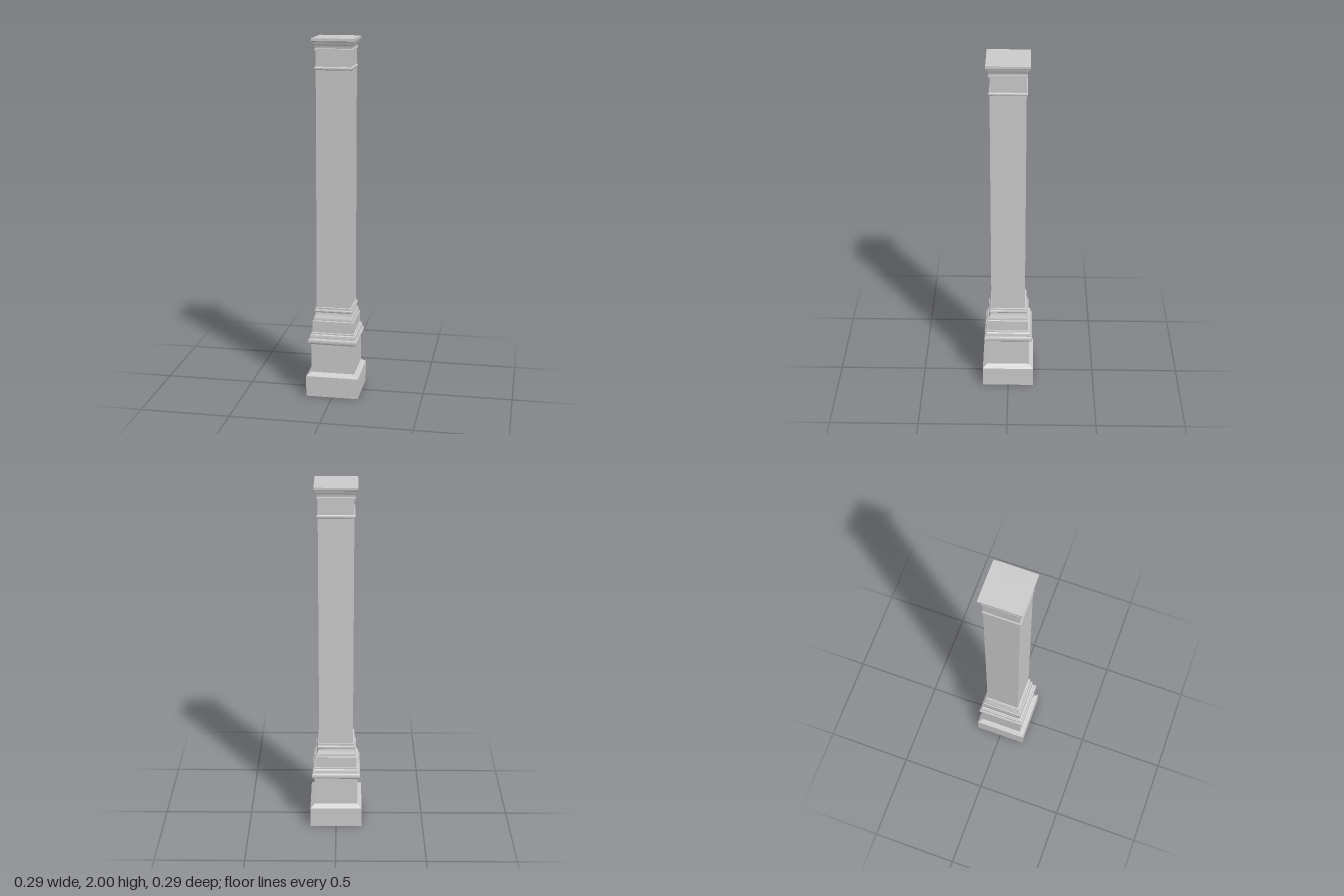
import * as THREE from 'three';

const material = new THREE.MeshStandardMaterial({ color: 0xcccccc, flatShading: true, side: THREE.DoubleSide });

// Sweeps a profile of [half width, height] points around a square plan
function squareSweep(name, profile) {
  const points = profile.map(([w, y]) => new THREE.Vector2(w * Math.SQRT2, y));
  const geometry = new THREE.LatheGeometry(points, 4, Math.PI / 4).toNonIndexed();
  geometry.computeVertexNormals();
  const mesh = new THREE.Mesh(geometry, material);
  mesh.name = name;
  return mesh;
}

// Half-round bead standing out from w by the given depth
function bead(w, y0, y1, depth, steps = 8) {
  return Array.from({ length: steps + 1 }, (_, i) => {
    const a = (Math.PI * i) / steps;
    return [w + depth * Math.sin(a), (y0 + y1) / 2 - ((y1 - y0) / 2) * Math.cos(a)];
  });
}

// Smooth moulding through a few profile points
function curve(profile, steps = 8) {
  const spline = new THREE.SplineCurve(profile.map(([w, y]) => new THREE.Vector2(w, y)));
  return spline.getPoints(steps).map((p) => [p.x, p.y]);
}

export function createModel() {
  const column = new THREE.Group();
  column.name = 'squareColumn';
  column.add(
    // Pedestal, open underneath
    squareSweep('plinth', [[0.147, 0], [0.147, 0.118], [0.122, 0.137]]),
    squareSweep('pedestalBlock', [[0.122, 0.137], [0.122, 0.305]]),
    squareSweep('pedestalMoulding', [
      [0.122, 0.305], ...bead(0.129, 0.305, 0.338, 0.008),
      [0.129, 0.342], [0.127, 0.357], [0.121, 0.362], [0.121, 0.369], [0.115, 0.371],
    ]),
    // Column base
    squareSweep('baseBlock', [[0.115, 0.371], [0.115, 0.436], [0.11, 0.439]]),
    squareSweep('baseCove', curve([[0.11, 0.439], [0.109, 0.452], [0.102, 0.47], [0.099, 0.485]])),
    squareSweep('baseBead', [
      [0.099, 0.485], ...bead(0.1, 0.485, 0.502, 0.005), [0.1, 0.504], [0.1, 0.512], [0.095, 0.514],
    ]),
    // Shaft
    squareSweep('shaft', [[0.095, 0.514], [0.095, 1.832]]),
    squareSweep('neckBead', [[0.095, 1.832], ...bead(0.096, 1.832, 1.85, 0.005), [0.095, 1.85]]),
    squareSweep('neck', [[0.095, 1.85], [0.095, 1.936]]),
    // Capital, closed on top
    squareSweep('capitalMoulding', [
      [0.095, 1.936], [0.101, 1.936], [0.101, 1.944],
      ...curve([[0.098, 1.946], [0.1, 1.958], [0.105, 1.97], [0.108, 1.98]]),
    ]),
    squareSweep('capitalSlab', [[0.108, 1.98], [0.115, 1.985], [0.115, 2], [0, 2]]),
  );
  return column;
}
